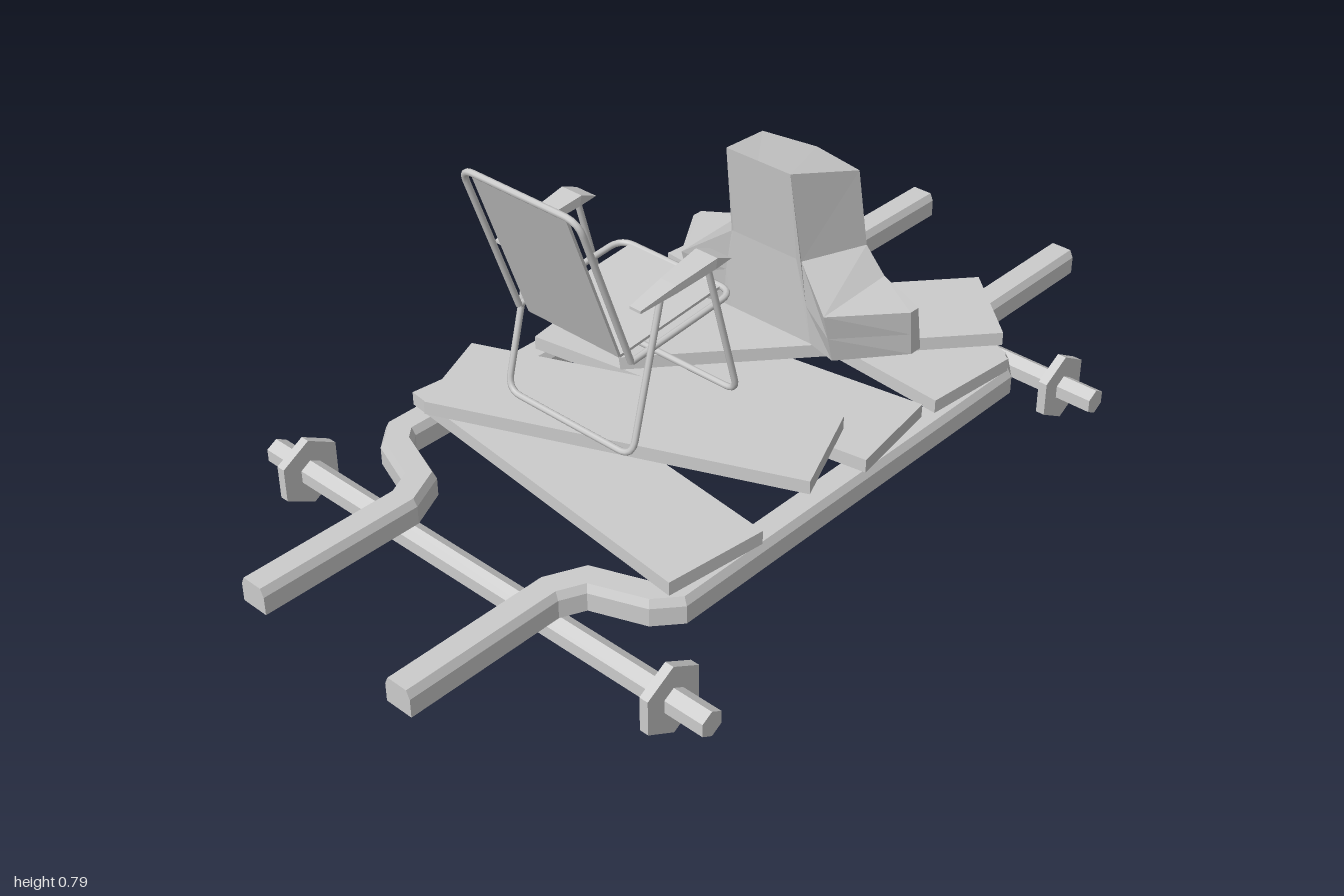
import * as THREE from 'three';

const flat = new THREE.MeshStandardMaterial({ color: 0xcccccc, flatShading: true });
const smooth = new THREE.MeshStandardMaterial({ color: 0xcccccc });

function add(parent, name, geometry, material = flat) {
  const mesh = new THREE.Mesh(geometry, material);
  mesh.name = name;
  parent.add(mesh);
  return mesh;
}

// Skin over equal-sized rings, with both ends capped
function loft(rings) {
  const n = rings[0].length, index = [];
  for (let i = 0; i < rings.length - 1; i++) {
    for (let j = 0; j < n; j++) {
      const k = (j + 1) % n, a = i * n, b = a + n;
      index.push(a + j, a + k, b + k, a + j, b + k, b + j);
    }
  }
  const end = (rings.length - 1) * n;
  for (let j = 1; j < n - 1; j++) index.push(0, j + 1, j, end, end + j, end + j + 1);
  const geometry = new THREE.BufferGeometry();
  geometry.setAttribute('position', new THREE.Float32BufferAttribute(rings.flat(2), 3));
  geometry.setIndex(index);
  geometry.computeVertexNormals();
  return geometry;
}

// Chamfered beam following a cranked plan path, mitred at each bend
function railGeometry(side) {
  const half = [[0.2, 0.64], [0.232, 0.572], [0.35, 0.527], [0.382, 0.49]];
  const path = [
    [0.2, -1], ...half.map(([x, z]) => [x, -z]),
    ...half.slice().reverse(), [0.2, 1],
  ].map(([x, z]) => new THREE.Vector2(side * x, z));
  const section = [[-0.032, 0.11], [0.032, 0.11], [0.032, 0.15], [0.024, 0.167], [-0.024, 0.167], [-0.032, 0.15]];
  const normal = (i) => {
    const d = path[i + 1].clone().sub(path[i]).normalize();
    return new THREE.Vector2(d.y, -d.x);
  };
  return loft(path.map((p, i) => {
    const n0 = normal(Math.max(i - 1, 0));
    const n1 = normal(Math.min(i, path.length - 2));
    const m = n0.clone().add(n1).normalize();
    m.divideScalar(m.dot(n0));
    return section.map(([s, y]) => [p.x + m.x * s, y, p.y + m.y * s]);
  }));
}

// Axle with a hexagonal wheel near each end
function makeAxle(z, halfLength, wheelX) {
  const axle = new THREE.Group();
  axle.name = 'axle';
  const bar = (r, length) => new THREE.CylinderGeometry(r, r, length, 6).rotateZ(Math.PI / 2);
  const hexBar = (r, length) => bar(r, length).rotateX(Math.PI / 2);
  add(axle, 'axleBar', hexBar(0.028, halfLength * 2));
  for (const s of [-1, 1]) add(axle, 'wheel', hexBar(0.076, 0.02)).position.x = s * wheelX;
  axle.position.set(0, 0.078, z);
  return axle;
}

// Faceted block: low lobes on both sides of a tall middle
function blockGeometry() {
  // Each station: front bottom, back bottom, back top, front top, front middle
  const stations = [
    [[0.30, 0.23, -0.33], [0.30, 0.23, -0.36], [0.30, 0.335, -0.345], [0.30, 0.335, -0.32], [0.30, 0.28, -0.325]],
    [[0.195, 0.23, -0.20], [0.195, 0.23, -0.385], [0.195, 0.36, -0.365], [0.195, 0.35, -0.168], [0.195, 0.29, -0.184]],
    [[0.12, 0.23, -0.22], [0.14, 0.23, -0.40], [0.14, 0.41, -0.372], [0.095, 0.42, -0.215], [0.11, 0.32, -0.215]],
    [[0.10, 0.23, -0.22], [0.13, 0.23, -0.405], [0.13, 0.59, -0.35], [0.085, 0.63, -0.185], [0.085, 0.425, -0.21]],
    [[0, 0.23, -0.22], [0, 0.23, -0.437], [0, 0.59, -0.372], [0, 0.63, -0.185], [0, 0.425, -0.21]],
  ];
  const place = (s) => (ring) => ring.map(([u, y, z]) => [-0.023 + s * u, y, z]);
  return loft([...stations.map(place(-1)), ...stations.slice(0, -1).reverse().map(place(1))]);
}

// Round tube bent to a U; open and closed ends are given as [y, z]
function uTube(w, open, closed, radius = 0.035) {
  const a = new THREE.Vector3(0, ...open), b = new THREE.Vector3(0, ...closed);
  const near = b.clone().lerp(a, radius / a.distanceTo(b));
  const at = (p, x) => new THREE.Vector3(x, p.y, p.z);
  const path = new THREE.CurvePath();
  path.add(new THREE.LineCurve3(at(a, -w), at(near, -w)));
  path.add(new THREE.QuadraticBezierCurve3(at(near, -w), at(b, -w), at(b, radius - w)));
  path.add(new THREE.LineCurve3(at(b, radius - w), at(b, w - radius)));
  path.add(new THREE.QuadraticBezierCurve3(at(b, w - radius), at(b, w), at(near, w)));
  path.add(new THREE.LineCurve3(at(near, w), at(a, w)));
  return new THREE.TubeGeometry(path, 90, 0.007, 8);
}

// Thin panel between two [y, z] edges
function panel(width, from, to) {
  const dy = to[0] - from[0], dz = to[1] - from[1];
  return new THREE.BoxGeometry(width, 0.006, Math.hypot(dy, dz))
    .rotateX(-Math.atan2(dy, dz))
    .translate(0, (from[0] + to[0]) / 2, (from[1] + to[1]) / 2);
}

// Armrest: side profile extruded, narrower towards the backrest
function armGeometry(side) {
  const shape = new THREE.Shape([
    [0.32, 0.568], [0.23, 0.574], [0.13, 0.585], [0.085, 0.59], [0.125, 0.607], [0.23, 0.591], [0.32, 0.574],
  ].map(([z, y]) => new THREE.Vector2(z, y)));
  const geometry = new THREE.ExtrudeGeometry(shape, { depth: 0.055, bevelEnabled: false });
  geometry.rotateY(-Math.PI / 2).translate(0.0275, 0, 0);
  const p = geometry.attributes.position;
  for (let i = 0; i < p.count; i++) {
    const t = THREE.MathUtils.clamp((p.getZ(i) - 0.13) / 0.19, 0, 1);
    p.setX(i, p.getX(i) * (1 - 0.5 * t) + side * 0.18);
  }
  geometry.computeVertexNormals();
  return geometry;
}

function makeChair() {
  const chair = new THREE.Group();
  chair.name = 'foldingChair';
  const hinge = [0.437, 0.305], backTop = [0.79, 0.43], seatFront = [0.462, 0.018];
  add(chair, 'backFrame', uTube(0.152, hinge, backTop), smooth);
  add(chair, 'seatFrame', uTube(0.152, hinge, seatFront), smooth);
  add(chair, 'rearLegs', uTube(0.172, [0.575, 0.24], [0.24, 0.328]), smooth);
  add(chair, 'frontLegs', uTube(0.172, [0.59, 0.12], [0.24, 0.025]), smooth);
  add(chair, 'backFabric', panel(0.245, hinge, [0.795, 0.432]));
  add(chair, 'seatFabric', panel(0.245, hinge, [0.463, 0.012]));
  for (const s of [-1, 1]) add(chair, 'armrest', armGeometry(s));
  chair.position.x = -0.06;
  return chair;
}

export function createModel() {
  const model = new THREE.Group();
  model.name = 'raftCart';

  for (const s of [-1, 1]) add(model, 'rail', railGeometry(s));
  model.add(makeAxle(0.64, 0.6, 0.5), makeAxle(-0.635, 0.542, 0.45));

  // Loose planks in two layers: centre x, z, height, turn
  const planks = [
    [0, -0.41, 0.185, -0.083],
    [0, -0.06, 0.185, 0.155],
    [0, 0.36, 0.185, -0.115],
    [0.02, -0.295, 0.215, 0.855],
    [-0.01, 0.2, 0.215, 0.4],
  ];
  for (const [x, z, y, turn] of planks) {
    const plank = add(model, 'plank', new THREE.BoxGeometry(0.805, 0.03, 0.228));
    plank.position.set(x, y, z);
    plank.rotation.y = turn;
  }

  add(model, 'block', blockGeometry());
  model.add(makeChair());
  return model;
}
